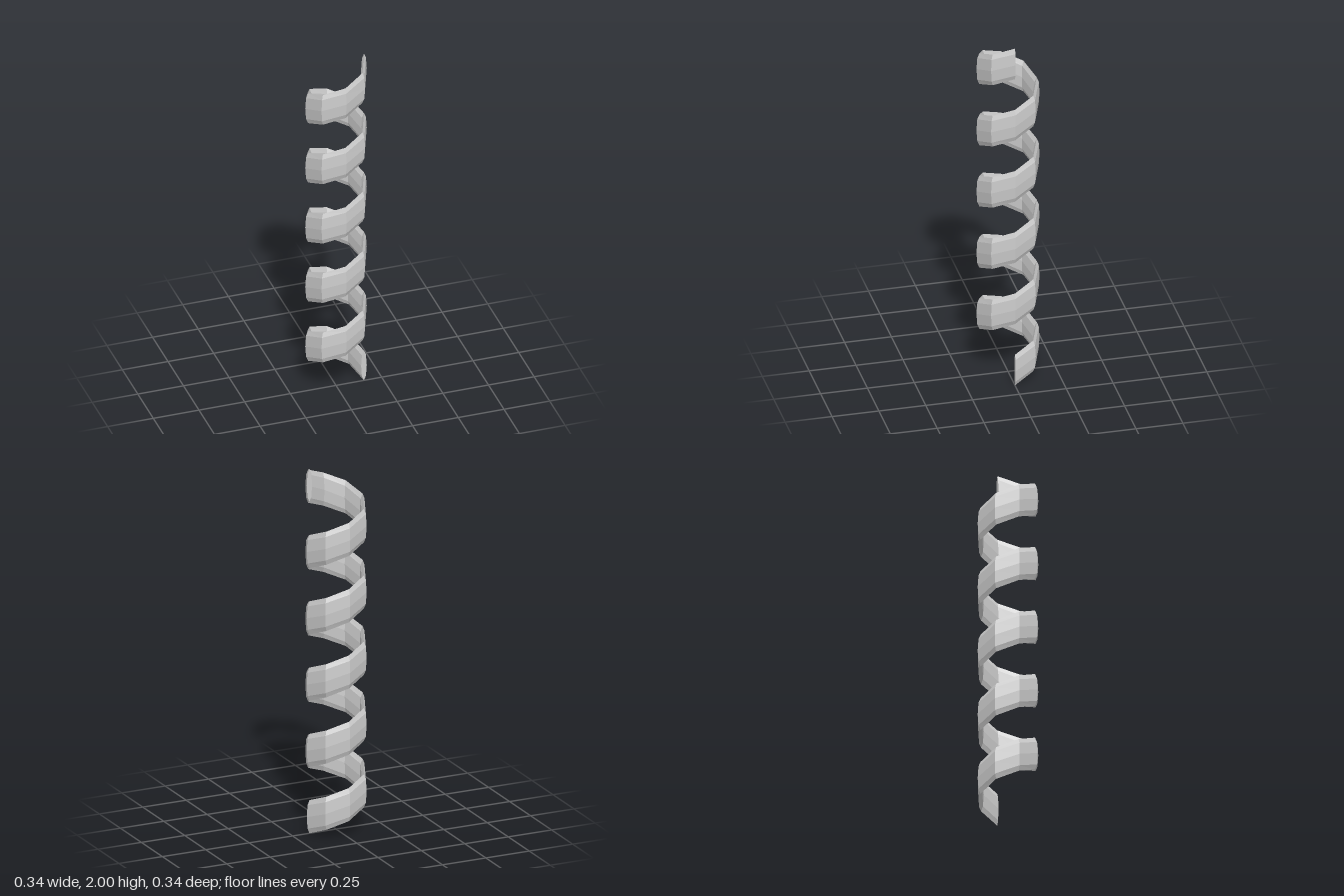
import * as THREE from 'three';

const TURNS = 5, STEPS = 8, SIDES = 8;
const RADIUS = 0.153, HALF_THICK = 0.0155, HALF_HEIGHT = 0.091;
const RISE = 2 - 2 * HALF_HEIGHT;

// Coiled strip: an upright oval section swept up a helix with eight steps per turn
function coilGeometry() {
  const rings = TURNS * STEPS;
  const positions = [], index = [];

  for (let i = 0; i <= rings; i++) {
    const angle = (i / STEPS) * Math.PI * 2;
    const y = HALF_HEIGHT + RISE * (i / rings);
    for (let j = 0; j < SIDES; j++) {
      const t = (j / SIDES) * Math.PI * 2;
      const r = RADIUS + HALF_THICK * Math.cos(t);
      positions.push(r * Math.cos(angle), y + HALF_HEIGHT * Math.sin(t), -r * Math.sin(angle));
    }
  }

  // Skin between neighbouring sections
  for (let i = 0; i < rings; i++) {
    for (let j = 0; j < SIDES; j++) {
      const k = (j + 1) % SIDES;
      const a = i * SIDES + j, b = i * SIDES + k;
      const c = a + SIDES, d = b + SIDES;
      index.push(a, c, b, b, c, d);
    }
  }

  // Flat caps closing both ends
  const last = rings * SIDES;
  for (let j = 1; j < SIDES - 1; j++) {
    index.push(0, j, j + 1);
    index.push(last, last + j + 1, last + j);
  }

  const geometry = new THREE.BufferGeometry();
  geometry.setAttribute('position', new THREE.Float32BufferAttribute(positions, 3));
  geometry.setIndex(index);
  geometry.computeVertexNormals();
  return geometry;
}

export function createModel() {
  const group = new THREE.Group();
  group.name = 'spiral';
  const material = new THREE.MeshStandardMaterial({ color: 0xcccccc, flatShading: true });
  const coil = new THREE.Mesh(coilGeometry(), material);
  coil.name = 'coil';
  group.add(coil);
  return group;
}
